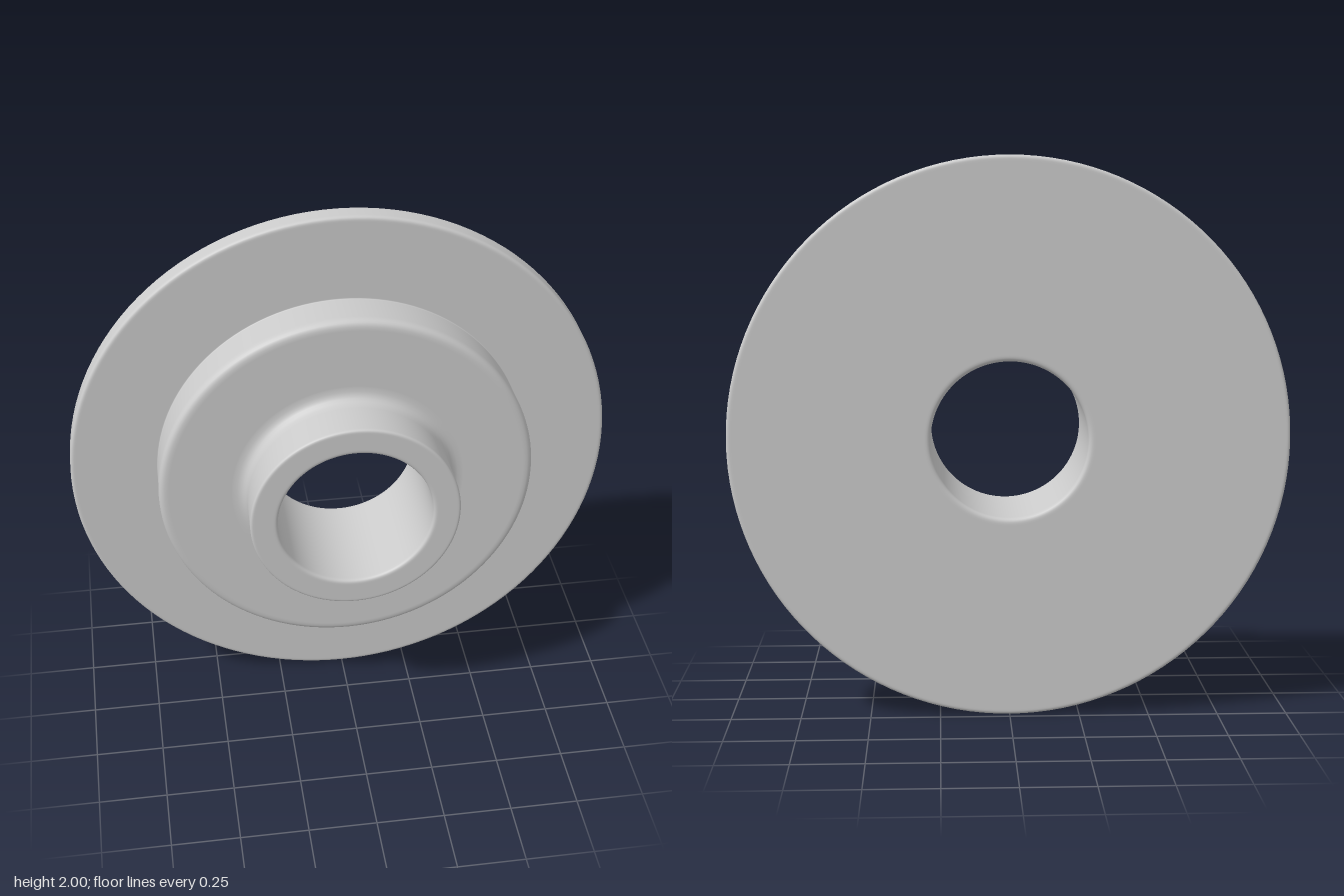
import * as THREE from 'three';

// Closed profile corners: radius, position along the axis, rounding
const corners = [
  [0.28, -0.23, 0.02],   // bore, back edge
  [1.0, -0.23, 0.015],   // flange rim, back
  [1.0, -0.15, 0.015],   // flange rim, front
  [0.682, -0.15, 0.004], // foot of the step
  [0.69, 0.022, 0.032],  // step shoulder
  [0.372, 0.022, 0.05],  // fillet into the hub
  [0.38, 0.23, 0.012],   // hub rim
  [0.28, 0.23, 0.015],   // bore, front edge
].map(([r, z, f]) => ({ p: new THREE.Vector2(r, z), f }));

// Replaces every corner by a short smooth curve
function roundedProfile(list, steps = 6) {
  const pts = [];
  list.forEach(({ p, f }, i) => {
    const prev = list[(i + list.length - 1) % list.length].p;
    const next = list[(i + 1) % list.length].p;
    const a = p.clone().add(prev.clone().sub(p).setLength(f));
    const b = p.clone().add(next.clone().sub(p).setLength(f));
    const lead = p.clone().add(prev.clone().sub(p).setLength(f + 0.006));
    const trail = p.clone().add(next.clone().sub(p).setLength(f + 0.006));
    pts.push(lead, ...new THREE.QuadraticBezierCurve(a, p, b).getPoints(steps), trail);
  });
  // Close the loop along the straight bore
  const mid = new THREE.Vector2(list[0].p.x, 0);
  return [mid, ...pts, mid.clone()];
}

export function createModel() {
  const group = new THREE.Group();
  group.name = 'flangedBushing';

  // Flange, step and hub turned as one piece, axis along z
  const geometry = new THREE.LatheGeometry(roundedProfile(corners), 128);
  geometry.rotateX(Math.PI / 2);
  const body = new THREE.Mesh(geometry, new THREE.MeshStandardMaterial({ color: 0xcccccc }));
  body.name = 'flangedBody';
  body.position.y = 1;
  group.add(body);
  return group;
}
